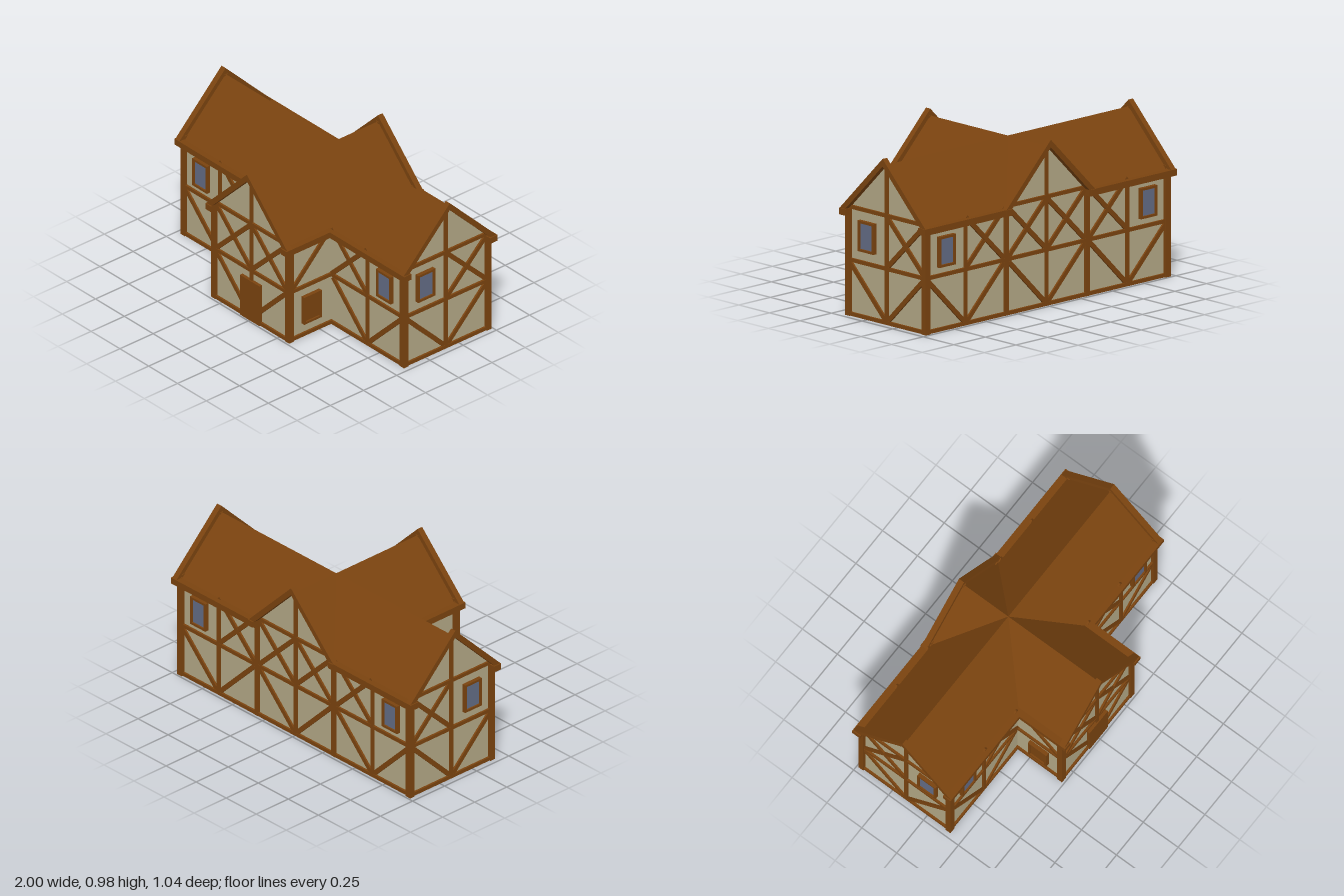
import * as THREE from 'three';

const timber = new THREE.MeshStandardMaterial({ color: 0x7a430f, side: THREE.DoubleSide });
timber.name = 'timber brown';
const plaster = new THREE.MeshStandardMaterial({ color: 0xb2a785, side: THREE.DoubleSide });
plaster.name = 'plaster';
const glass = new THREE.MeshStandardMaterial({ color: 0x626b84 });
glass.name = 'window glass';

// Main block and cross wing dimensions
const ZC = -0.158, HALF = 0.31, EAVE = 0.63, RIDGE = 0.94;
const END = 0.95, WING = 0.32, FRONT = 0.47, RAIL = 0.328;
const T = 0.022, BRACE = 0.028, OUT = 0.013;

function add(parent, name, geometry, material) {
  const mesh = new THREE.Mesh(geometry, material);
  mesh.name = name;
  parent.add(mesh);
  return mesh;
}

// Box given by its min and max corners
function block(parent, name, x0, x1, y0, y1, z0, z1, material = timber) {
  const mesh = add(parent, name, new THREE.BoxGeometry(x1 - x0, y1 - y0, z1 - z0), material);
  mesh.position.set((x0 + x1) / 2, (y0 + y1) / 2, (z0 + z1) / 2);
  return mesh;
}

function polygon(points) {
  return new THREE.Shape(points.map(([x, y]) => new THREE.Vector2(x, y)));
}

// A wall is a group whose local +z points outward
function wall(parent, name, x, z, turn, outline) {
  const group = new THREE.Group();
  group.name = name;
  group.position.set(x, 0, z);
  group.rotation.y = turn;
  parent.add(group);
  add(group, 'plasterPanel', new THREE.ShapeGeometry(polygon(outline)), plaster);
  return group;
}

// Straight timber between two points of a wall
function beam(w, name, x0, y0, x1, y1, width = T, depth = OUT) {
  const length = Math.hypot(x1 - x0, y1 - y0);
  const mesh = add(w, name, new THREE.BoxGeometry(length, width, depth), timber);
  mesh.position.set((x0 + x1) / 2, (y0 + y1) / 2, depth / 2);
  mesh.rotation.z = Math.atan2(y1 - y0, x1 - x0);
}

function cross(w, x0, x1) {
  beam(w, 'crossBrace', x0, RAIL + 0.005, x1, 0.635, BRACE, OUT - 0.001);
  beam(w, 'crossBrace', x0, 0.635, x1, RAIL + 0.005, BRACE, OUT - 0.002);
}

// Pair of braces rising from the foot of a post
function vBrace(w, x, reach) {
  for (const s of [-1, 1]) beam(w, 'footBrace', x, 0.012, x + s * reach, 0.012 + reach, BRACE, OUT - 0.002);
}

// Framed opening with a glass pane or a wooden panel
function opening(w, name, x, y, width, height, material) {
  const a = width / 2, b = height / 2, c = a - 0.014, d = b - 0.014;
  const ring = polygon([[-a, -b], [a, -b], [a, b], [-a, b]]);
  ring.holes.push(polygon([[-c, -d], [-c, d], [c, d], [c, -d]]));
  const frame = add(w, name + 'Frame', new THREE.ExtrudeGeometry(ring, { depth: 0.024, bevelEnabled: false }), timber);
  frame.position.set(x, y, 0);
  block(w, name + 'Pane', x - c, x + c, y - d, y + d, 0.006, 0.014, material);
}

// Timbers of a full gable, centred on local x = 0
function gableFrame(w) {
  beam(w, 'kingPost', 0, 0, 0, 0.94);
  beam(w, 'gableRail', -HALF, 0.64, HALF, 0.64);
  beam(w, 'middleRail', -HALF, RAIL, HALF, RAIL);
  beam(w, 'sill', -HALF, 0.011, HALF, 0.011);
  vBrace(w, 0, 0.3);
}

// Timbers of one half of the long walls, s = side
function longFrame(w, s) {
  const a = s * WING, m = s * 0.64, b = s * END;
  beam(w, 'middleRail', a, RAIL, b, RAIL);
  beam(w, 'sill', a, 0.011, b, 0.011);
  beam(w, 'post', m, 0, m, EAVE);
  vBrace(w, m, 0.3);
  cross(w, a + s * 0.01, m);
  opening(w, 'window', s * 0.797, 0.467, 0.128, 0.18, glass);
}

// Sloping boards over a gable, outline in its own plane
function bargeGeometry() {
  const r = 0.35, t = 0.045;
  return new THREE.ExtrudeGeometry(
    polygon([[0, 0.98], [-r, 0.98 - r], [-r + t, 0.98 - r], [0, 0.98 - t], [r - t, 0.98 - r], [r, 0.98 - r]]),
    { depth: 0.036, bevelEnabled: false });
}

// Quad facing upward
function roofQuad(parent, name, pts) {
  const g = new THREE.BufferGeometry();
  g.setAttribute('position', new THREE.Float32BufferAttribute(pts.flat(), 3));
  const [a, b, c] = pts.map((p) => new THREE.Vector3(...p));
  const up = b.clone().sub(a).cross(c.clone().sub(a)).y > 0;
  g.setIndex(up ? [0, 1, 2, 0, 2, 3] : [0, 2, 1, 0, 3, 2]);
  g.computeVertexNormals();
  add(parent, name, g, timber);
}

export function createModel() {
  const house = new THREE.Group();
  house.name = 'timberFramedHouse';
  const gable = (h) => [[-h, 0], [h, 0], [h, EAVE], [0, EAVE + h], [-h, EAVE], [-h, 0]].slice(0, 5);

  // Wing front with door
  const front = wall(house, 'wingFrontWall', 0, FRONT, 0, gable(HALF));
  gableFrame(front);
  cross(front, -HALF, 0);
  cross(front, 0, HALF);
  block(front, 'door', -0.085, 0.085, 0, 0.265, 0, 0.02);

  // Back wall with its own middle gable
  const back = wall(house, 'backWall', 0, ZC - HALF, Math.PI,
    [[-END, 0], [END, 0], [END, EAVE], [HALF, EAVE], [0, RIDGE], [-HALF, EAVE], [-END, EAVE]]);
  gableFrame(back);
  cross(back, -HALF, 0);
  cross(back, 0, HALF);

  for (const s of [-1, 1]) {
    // Long walls
    longFrame(back, s);
    beam(back, 'wingPost', s * WING, 0, s * WING, EAVE, 0.03, OUT + 0.002);
    const a = Math.min(s * WING, s * END), b = Math.max(s * WING, s * END);
    const long = wall(house, 'frontWall', 0, ZC + HALF, 0, [[a, 0], [b, 0], [b, EAVE], [a, EAVE]]);
    longFrame(long, s);

    // End gable: window in the front half, crossed braces in the back half
    const end = wall(house, 'endGableWall', s * END, ZC, s * Math.PI / 2, gable(HALF));
    gableFrame(end);
    cross(end, 0, s * HALF);
    opening(end, 'window', -s * 0.158, 0.485, 0.13, 0.18, glass);

    // Wing side wall with a wooden hatch
    const zm = (FRONT + ZC + HALF) / 2, h = (FRONT - ZC - HALF) / 2;
    const side = wall(house, 'wingSideWall', s * WING, zm, s * Math.PI / 2,
      [[-h, 0], [h, 0], [h, EAVE], [-h, EAVE]]);
    beam(side, 'middleRail', -h, RAIL, h, RAIL);
    beam(side, 'sill', -h, 0.011, h, 0.011);
    beam(side, 'brace', -s * (h - 0.01), RAIL + 0.005, s * (h - 0.03), 0.615, BRACE, OUT - 0.002);
    opening(side, 'hatch', 0, 0.173, 0.132, 0.18, timber);

    // Corner posts and eaves
    const mirrored = (name, x0, x1, y0, y1, z0, z1) =>
      block(house, name, Math.min(s * x0, s * x1), Math.max(s * x0, s * x1), y0, y1, z0, z1);
    mirrored('cornerPost', 0.932, 0.97, 0, EAVE, 0.135, 0.17);
    mirrored('cornerPost', 0.932, 0.97, 0, EAVE, -0.49, -0.455);
    mirrored('wingCornerPost', 0.303, 0.34, 0, EAVE, 0.45, 0.487);
    mirrored('frontEave', 0.305, 0.998, 0.592, EAVE, 0.138, 0.192);
    mirrored('backEave', 0.305, 0.998, 0.592, EAVE, -0.512, -0.455);
    mirrored('wingEave', 0.303, 0.353, 0.592, EAVE, 0.138, 0.518);
    mirrored('backGableFoot', 0.315, 0.353, 0.592, EAVE, -0.518, -0.46);

    // Barge boards on the ends, then on the wing
    const endBoards = add(house, 'endBargeBoards', bargeGeometry(), timber);
    endBoards.rotation.y = Math.PI / 2;
    endBoards.position.set(s > 0 ? 0.955 : -0.991, 0, ZC);
    const wingBoards = add(house, 'wingBargeBoards', bargeGeometry(), timber);
    wingBoards.position.z = s > 0 ? 0.475 : -0.511;

    // Roof slopes meeting in the valleys
    const peak = [0, RIDGE, ZC];
    for (const f of [-1, 1]) {
      const valley = [s * HALF, EAVE, ZC + f * HALF], zEnd = f > 0 ? 0.49 : -0.49;
      roofQuad(house, 'mainRoof', [peak, [s * 0.97, RIDGE, ZC], [s * 0.97, EAVE, ZC + f * HALF], valley]);
      roofQuad(house, 'wingRoof', [peak, valley, [s * HALF, EAVE, zEnd], [0, RIDGE, zEnd]]);
    }
  }
  return house;
}
